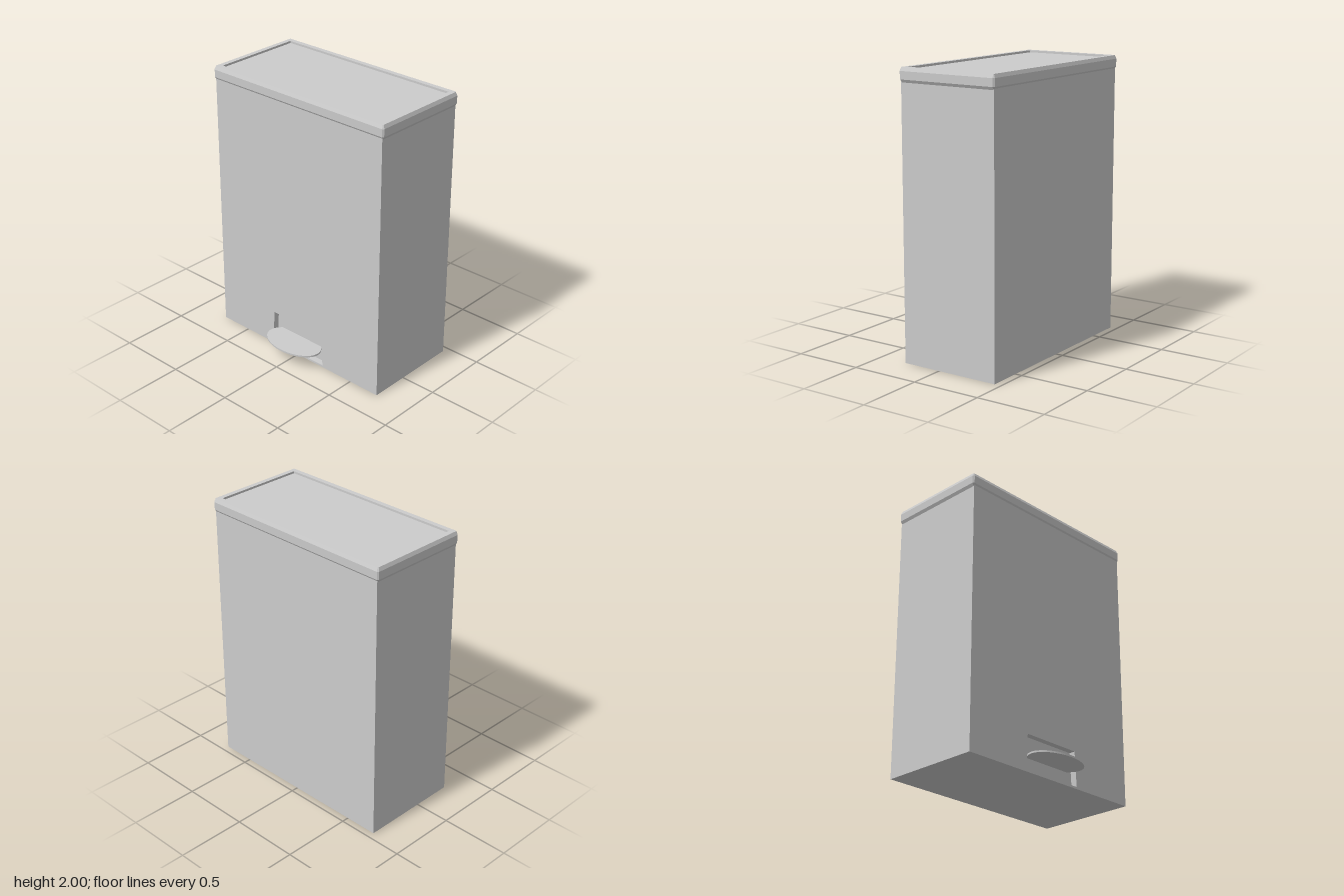
import * as THREE from 'three';

const mat = new THREE.MeshStandardMaterial({ color: 0xcccccc, side: THREE.DoubleSide });
const flat = new THREE.MeshStandardMaterial({ color: 0xcccccc, flatShading: true, side: THREE.DoubleSide });

const CZ = -0.083;            // z centre of the bin
const HX = 0.74, HZ = 0.367;  // half sizes of the body
const TOP = 1.93;             // body top, hidden inside the lid
const DEPTH = 0.045;          // pedal recess depth
const FRONT = CZ + HZ;

function part(name, geometry, material, x = 0, y = 0, z = 0) {
  const mesh = new THREE.Mesh(geometry, material);
  mesh.name = name;
  mesh.position.set(x, y, z);
  return mesh;
}

function polygon(PathType, points) {
  return new PathType(points.map(([x, y]) => new THREE.Vector2(x, y)));
}

// Loft through horizontal rectangles with cut corners: [inset, y, corner cut]
function rectLoft(hx, hz, sections) {
  const pos = [], index = [];
  for (const [d, y, c] of sections) {
    const a = hx - d, b = hz - d;
    for (const [x, z] of [[a, b - c], [a - c, b], [c - a, b], [-a, b - c],
      [-a, c - b], [c - a, -b], [a - c, -b], [a, c - b]]) pos.push(x, y, z);
  }
  for (let s = 0; s < sections.length - 1; s++) {
    for (let i = 0; i < 8; i++) {
      const p = s * 8 + i, q = s * 8 + (i + 1) % 8;
      index.push(p, p + 8, q, q, p + 8, q + 8);
    }
  }
  // Cap the last section
  const last = (sections.length - 1) * 8;
  for (let i = 1; i < 7; i++) index.push(last, last + i + 1, last + i);
  // Flip the winding so that all faces point outward
  for (let i = 0; i < index.length; i += 3) {
    const t = index[i + 1];
    index[i + 1] = index[i + 2];
    index[i + 2] = t;
  }
  // Cap was listed in the opposite order; restore it facing up
  for (let i = index.length - 18; i < index.length; i += 3) {
    const t = index[i + 1];
    index[i + 1] = index[i + 2];
    index[i + 2] = t;
  }
  const g = new THREE.BufferGeometry();
  g.setAttribute('position', new THREE.Float32BufferAttribute(pos, 3));
  g.setIndex(index);
  orientUp(g, sections.length);
  const out = g.toNonIndexed();
  out.computeVertexNormals();
  return out;
}

// Set each triangle to face away from the loft's axis, or upward where level
function orientUp(g) {
  const p = g.attributes.position, idx = g.index.array;
  const v = [0, 1, 2].map(() => new THREE.Vector3());
  const tri = new THREE.Triangle(), n = new THREE.Vector3(), m = new THREE.Vector3();
  for (let i = 0; i < idx.length; i += 3) {
    v.forEach((w, k) => w.fromBufferAttribute(p, idx[i + k]));
    tri.set(...v).getNormal(n);
    tri.getMidpoint(m);
    const recess = Math.max(...v.map(w => Math.abs(w.x))) < 0.715;
    const side = (n.x * m.x + n.z * m.z) * (recess ? -1 : 1);
    const facing = Math.abs(n.y) > 0.95 ? n.y : side;
    if (facing < 0) [idx[i + 1], idx[i + 2]] = [idx[i + 2], idx[i + 1]];
  }
}

export function createModel() {
  const bin = new THREE.Group();
  bin.name = 'pedalBin';

  // Body behind the front panel
  const len = 2 * HZ - DEPTH;
  bin.add(part('body', new THREE.BoxGeometry(2 * HX, TOP, len), mat, 0, TOP / 2, CZ - HZ + len / 2));

  // Front panel with the tapered pedal opening
  const panel = polygon(THREE.Shape, [[-HX, 0], [HX, 0], [HX, TOP], [-HX, TOP]]);
  panel.holes.push(polygon(THREE.Path, [[-0.24, 0.015], [-0.225, 0.26], [0.225, 0.26], [0.24, 0.015]]));
  bin.add(part('frontPanel', new THREE.ExtrudeGeometry(panel, { depth: DEPTH, bevelEnabled: false }),
    mat, 0, 0, FRONT - DEPTH));

  // Lid with bevelled rim and sunken top
  const lid = rectLoft(0.753, 0.375, [
    [0.013, 1.9, 0.003], [0.001, 1.92, 0.01], [0, 1.975, 0.01], [0.01, 2, 0.005],
    [0.045, 2, 0], [0.045, 1.985, 0],
  ]);
  bin.add(part('lid', lid, flat, 0, 0, CZ));

  // Oval foot pedal, reaching into the opening
  const pedal = new THREE.CylinderGeometry(1, 1, 0.012, 64);
  pedal.scale(0.23, 1, 0.138);
  bin.add(part('pedal', pedal, mat, 0, 0.121, 0.32));

  return bin;
}
